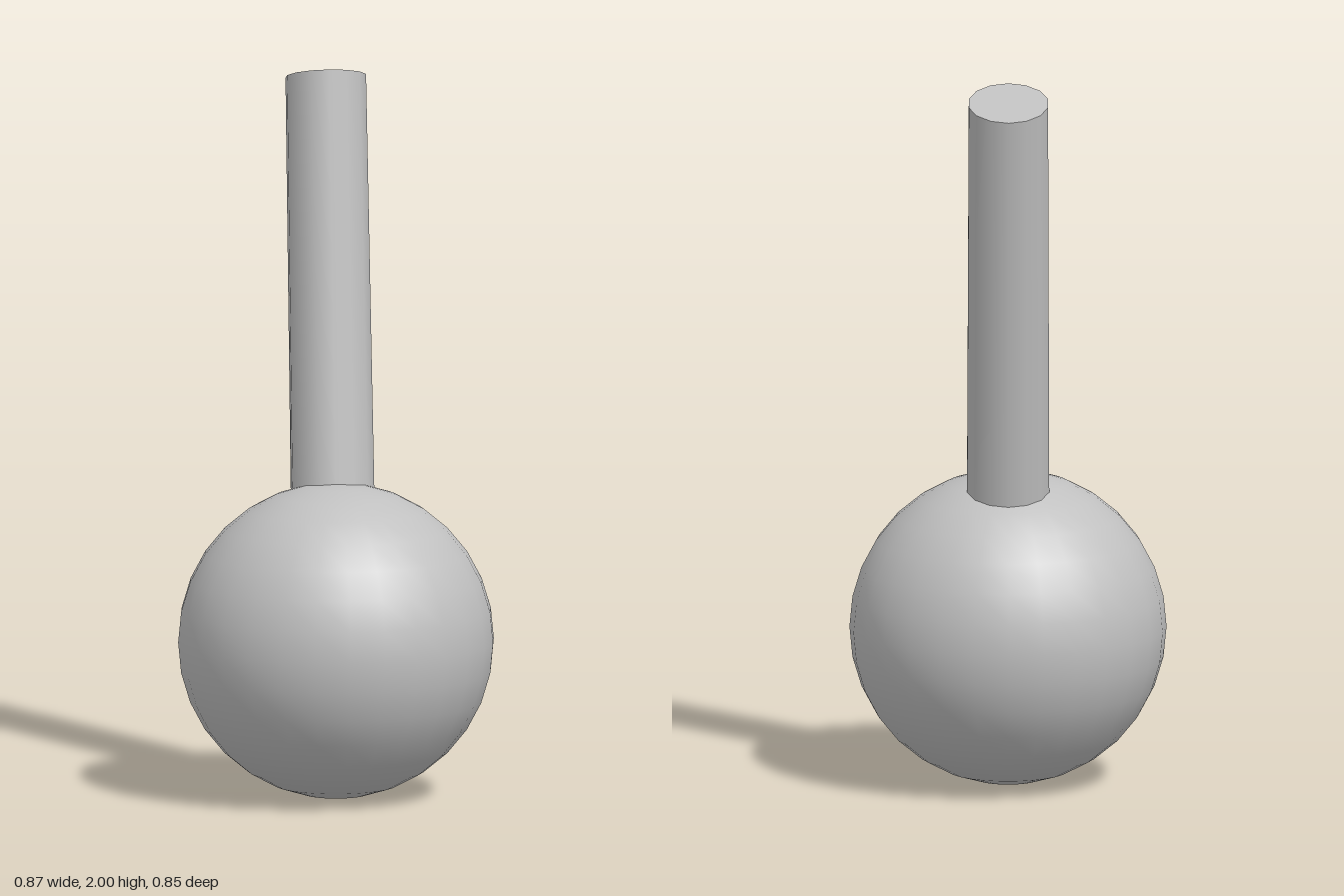
import * as THREE from 'three';

export function createModel() {
  const model = new THREE.Group();
  const grey = new THREE.MeshStandardMaterial({ color: 0xc0c0c0 });
  grey.name = 'plain grey';

  // Ball base, very slightly narrower from front to back
  const ballGeometry = new THREE.SphereGeometry(0.437, 28, 16);
  ballGeometry.scale(1, 1, 0.977);
  const ball = new THREE.Mesh(ballGeometry, grey);
  ball.name = 'ball';
  ball.position.y = 0.437;
  model.add(ball);

  // Rod leaning backwards, with its end cut at a steeper slant than its lean
  const height = 1.36;
  const rodGeometry = new THREE.CylinderGeometry(0.112, 0.117, height, 14);
  rodGeometry.translate(0, -height / 2, 0);
  rodGeometry.applyMatrix4(new THREE.Matrix4().set(
    1, 0, 0, 0,
    0, 1, 0.31, 0,
    0, -0.175, 0.965, 0,
    0, 0, 0, 1,
  ));
  const rod = new THREE.Mesh(rodGeometry, grey);
  rod.name = 'rod';
  rod.position.set(0, 1.965, -0.297);
  model.add(rod);

  return model;
}
